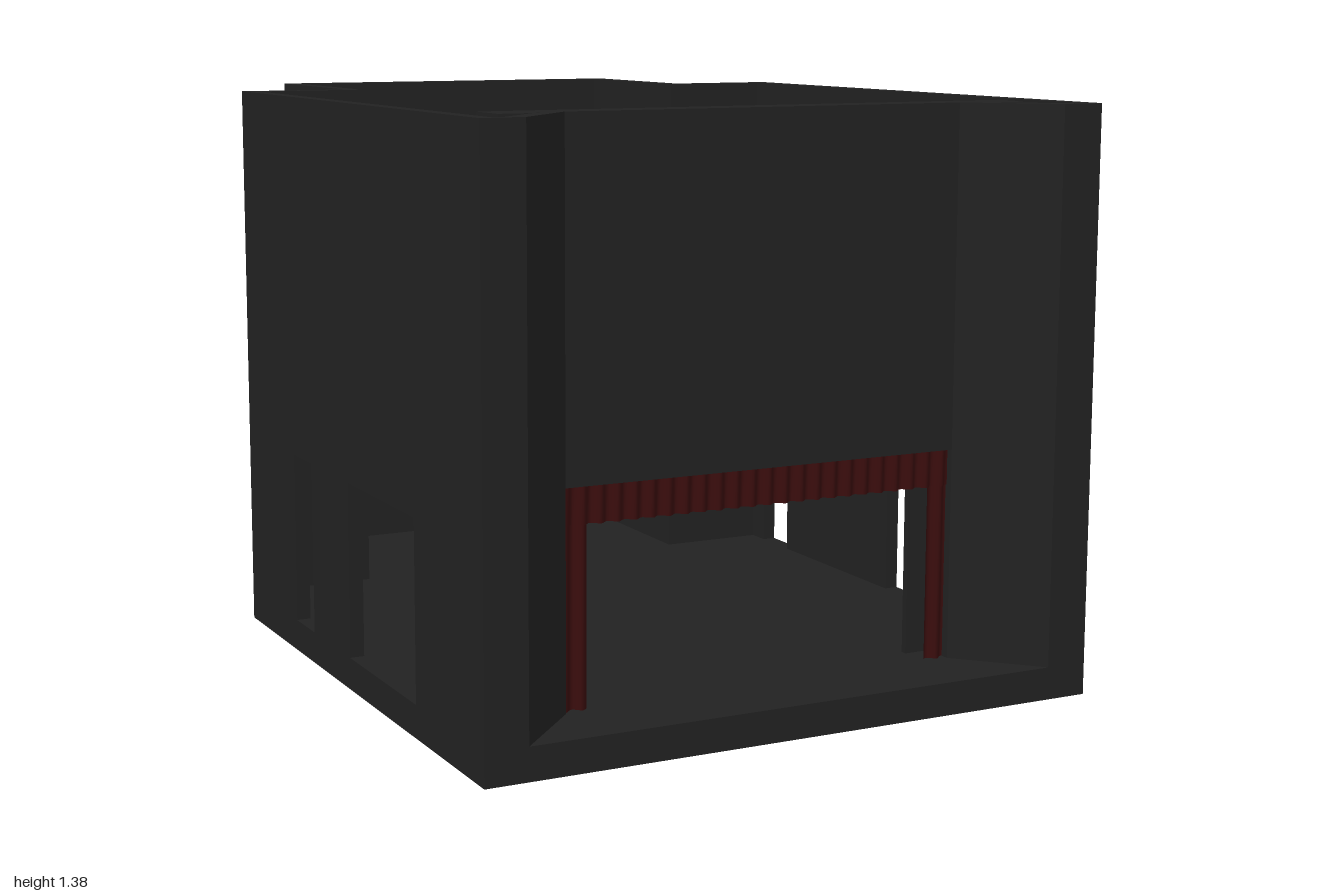
import * as THREE from 'three';
import { mergeGeometries } from 'three/addons/utils/BufferGeometryUtils.js';

const H = 1.375, FLOOR = 0.077, T = 0.035;
const W = 0.762, BW = 0.487, NOTCH = -0.52;

function mat(name, color, side = THREE.FrontSide) {
  const m = new THREE.MeshStandardMaterial({ color, side });
  m.name = name;
  return m;
}

// Box given by its minimum and maximum on each axis
function box(x0, x1, y0, y1, z0, z1) {
  return new THREE.BoxGeometry(x1 - x0, y1 - y0, z1 - z0)
    .translate((x0 + x1) / 2, (y0 + y1) / 2, (z0 + z1) / 2);
}

// Upright prism from a floor plan of [x, z] points
function prism(plan, y0, y1) {
  const shape = new THREE.Shape(plan.map(([x, z]) => new THREE.Vector2(x, -z)));
  return new THREE.ExtrudeGeometry(shape, { depth: y1 - y0, bevelEnabled: false })
    .rotateX(-Math.PI / 2).translate(0, y0, 0);
}

function rectPath(P, a0, a1, b0, b1) {
  return new P([[a0, b0], [a1, b0], [a1, b1], [a0, b1]].map(([a, b]) => new THREE.Vector2(a, b)));
}

// Side wall with openings given as [z0, z1]
function sideWall(x0, openings) {
  const s = rectPath(THREE.Shape, -1, -NOTCH, 0, H);
  for (const [z0, z1] of openings) s.holes.push(rectPath(THREE.Path, -z1, -z0, FLOOR, 0.497));
  return new THREE.ExtrudeGeometry(s, { depth: T, bevelEnabled: false })
    .rotateY(Math.PI / 2).translate(x0, 0, 0);
}

// Pleated cloth hanging in the stage opening
function cloth(x0, x1, y0, y1, z) {
  const g = new THREE.PlaneGeometry(x1 - x0, y1 - y0, Math.round((x1 - x0) * 160), 1)
    .translate((x0 + x1) / 2, (y0 + y1) / 2, z);
  const p = g.attributes.position;
  for (let i = 0; i < p.count; i++) p.setZ(i, z + 0.008 * Math.sin(p.getX(i) * 150));
  g.computeVertexNormals();
  return g;
}

export function createModel() {
  const model = new THREE.Group();
  model.name = 'theatreHall';
  const dark = mat('darkWall', 0x222222);
  const red = mat('redCurtain', 0x3a0d0d, THREE.DoubleSide);
  const steel = mat('steel', 0x808080);
  const add = (name, geo, material = dark) => {
    const m = new THREE.Mesh(geo, material);
    m.name = name;
    model.add(m);
  };

  // Floor slab with the narrower rear bay
  add('floor', prism([[-W, 1], [W, 1], [W, NOTCH], [BW, NOTCH], [BW, -1],
    [-BW, -1], [-BW, NOTCH], [-W, NOTCH]], 0, FLOOR));

  // Outer walls
  add('leftWall', sideWall(W - T, [[0.21, 0.625], [-0.425, -0.295]]));
  add('rightWall', sideWall(-W, [[0.21, 0.625], [-0.17, -0.04]]));
  add('rearWall', box(-BW, BW, 0, H, -1, -1 + T));
  for (const s of [-1, 1]) {
    const side = s < 0 ? 'right' : 'left';
    const across = (a, b, ...rest) => (s < 0 ? box(-b, -a, ...rest) : box(a, b, ...rest));
    add(side + 'BayWall', across(BW - T, BW, 0, H, -1, NOTCH + T));
    add(side + 'RearReturn', across(BW - T, W, 0, H, NOTCH, NOTCH + T));
    add(side + 'FrontJamb', across(0.66, W, 0, H, 0.98, 1));
    add(side + 'SplayedPanel', prism([[0.66, 1], [0.495, 0.83], [0.55, 0.83], [0.7, 0.98]]
      .map(([x, z]) => [s * x, z]), FLOOR, H));

    // Stage wall piers and their thicker ends
    add(side + 'StagePier', across(0.495, 0.66, FLOOR, H, 0.75, 0.83));
    add(side + 'PierEnd', across(0.56, 0.66, FLOOR, H, 0.82, 0.86));

    // Curtain legs with a dark masking leg behind
    add(side + 'CurtainLeg', s < 0 ? cloth(-0.497, -0.437, FLOOR, 0.575, 0.815)
      : cloth(0.437, 0.497, FLOOR, 0.575, 0.815), red);
    add(side + 'MaskingLeg', across(0.428, 0.497, FLOOR, 0.49, 0.74, 0.755));
  }
  add('stageWallHeader', box(-0.495, 0.495, 0.575, H, 0.75, 0.83));
  add('curtainValance', cloth(-0.495, 0.495, 0.49, 0.58, 0.82), red);

  // Overhead box trusses: chords, posts and diagonals
  const X = 0.508, R = 0.0028, bays = 6, top = 0.945, low = 0.855;
  const rod = (a, b, r = R) => {
    const p = new THREE.Vector3(...a), d = new THREE.Vector3(...b).sub(p);
    const g = new THREE.CylinderGeometry(r, r, d.length(), 4);
    g.applyQuaternion(new THREE.Quaternion().setFromUnitVectors(
      new THREE.Vector3(0, 1, 0), d.clone().normalize()));
    return g.translate(...p.addScaledVector(d, 0.5).toArray());
  };
  const trussZ = [-0.282, -0.066, 0.152, 0.365, 0.575];
  trussZ.forEach((zc, n) => {
    const parts = [], z0 = zc - 0.021, z1 = zc + 0.021;
    for (const z of [z0, z1]) {
      for (const y of [top, (top + low) / 2, low]) parts.push(rod([-X, y, z], [X, y, z]));
    }
    for (let i = 0; i <= bays; i++) {
      const x = -X + (2 * X * i) / bays;
      for (const z of [z0, z1]) parts.push(rod([x, low, z], [x, top, z]));
      for (const y of [top, low]) parts.push(rod([x, y, z0], [x, y, z1]));
    }
    add('truss' + (n + 1), mergeGeometries(parts), steel);
  });

  // Thin grid rods between the trusses
  const gridRods = [];
  for (let n = 0; n < trussZ.length - 1; n++) {
    for (let i = 0; i < 8; i++) {
      const z = trussZ[n] + 0.045 + i * 0.0185;
      gridRods.push(rod([-X, low, z], [X, low, z], 0.0018));
    }
  }
  add('gridRods', mergeGeometries(gridRods), steel);

  return model;
}
